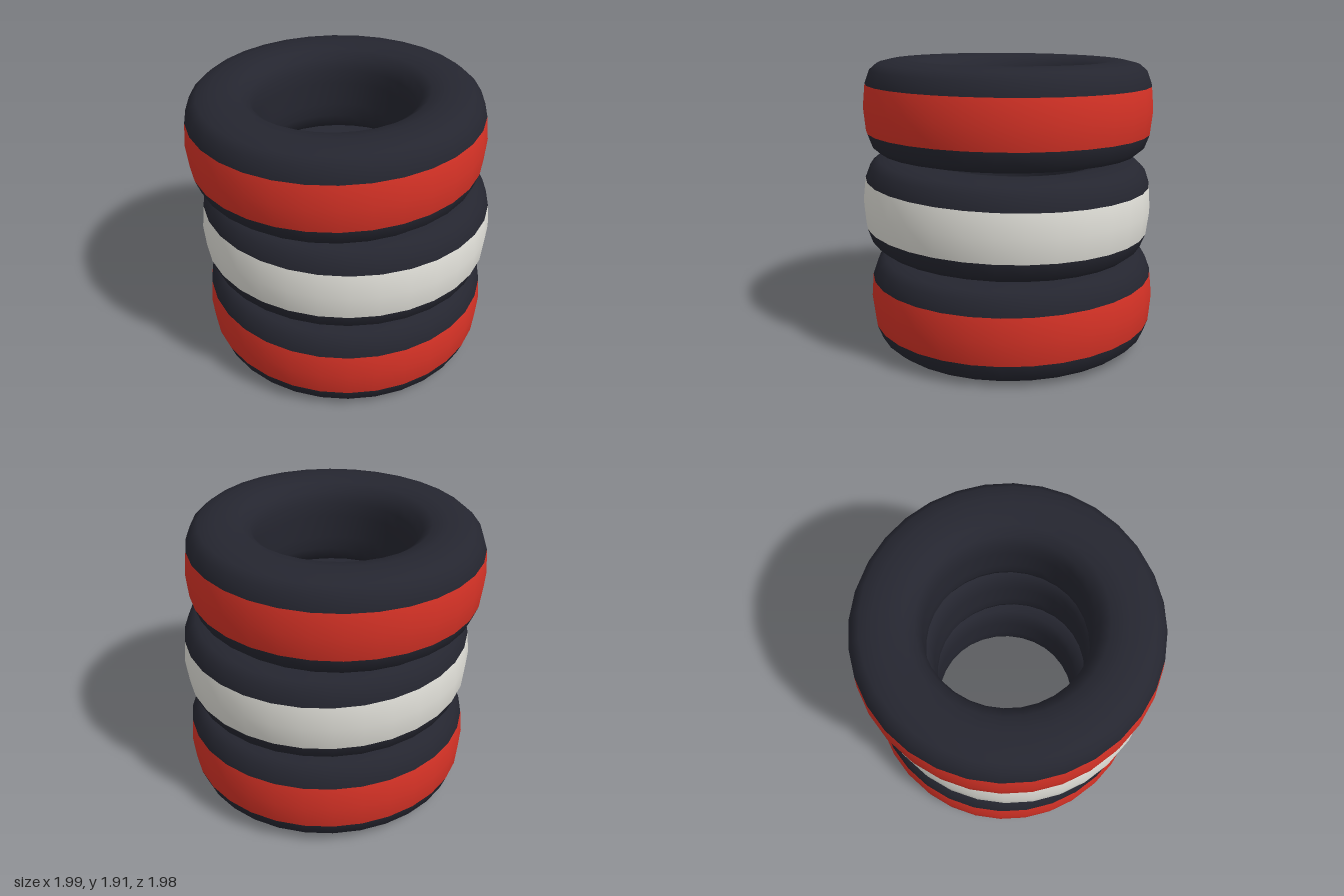
import * as THREE from 'three';

const rubber = new THREE.MeshStandardMaterial({ name: 'darkRubber', color: 0x252630 });
const red = new THREE.MeshStandardMaterial({ name: 'redPaint', color: 0xd63226 });
const white = new THREE.MeshStandardMaterial({ name: 'whitePaint', color: 0xe0dfd8 });

const SEGMENTS = 32;
const BAND = 0.155; // half height of the painted tread

// Upper half of the cross-section, from the tread to the inner wall
const upper = [
  [0.966, 0], [0.951, BAND], [0.918, 0.245], [0.868, 0.288], [0.785, 0.308],
  [0.69, 0.311], [0.605, 0.293], [0.545, 0.248], [0.518, 0.17], [0.515, 0.08],
];

// Closed profile: inner wall, underside, tread, top, inner wall
function tyreProfile() {
  const lower = upper.slice(1).reverse().map(([r, y]) => [r, -y]);
  return [[0.515, 0], ...lower, ...upper, [0.515, 0]].map(([r, y]) => new THREE.Vector2(r, y));
}

// Lathe whose faces are sorted into a rubber group and a tread-band group
function tyreGeometry() {
  const profile = tyreProfile();
  const geometry = new THREE.LatheGeometry(profile, SEGMENTS);
  const index = geometry.index.array;
  const body = [], band = [];
  const rows = profile.length - 1;
  for (let q = 0; q < index.length / 6; q++) {
    const row = q % rows;
    const a = profile[row], b = profile[row + 1];
    const onTread = Math.min(a.x, b.x) > 0.95 && Math.max(Math.abs(a.y), Math.abs(b.y)) <= BAND;
    (onTread ? band : body).push(...index.slice(q * 6, q * 6 + 6));
  }
  geometry.setIndex([...body, ...band]);
  geometry.addGroup(0, body.length, 0);
  geometry.addGroup(body.length, band.length, 1);
  return geometry;
}

export function createModel() {
  const group = new THREE.Group();
  group.name = 'tyreStack';
  const geometry = tyreGeometry();

  // Each tyre is slightly shifted and tilted
  const tyres = [
    { name: 'bottomTyre', paint: red, position: [0.007, 0.322, -0.022], tilt: [0.008, 0, -0.013] },
    { name: 'middleTyre', paint: white, position: [0.025, 0.962, 0.005], tilt: [-0.026, 0, 0.004] },
    { name: 'topTyre', paint: red, position: [-0.035, 1.59, 0.025], tilt: [0, 0, 0.015] },
  ];
  for (const { name, paint, position, tilt } of tyres) {
    const tyre = new THREE.Mesh(geometry, [rubber, paint]);
    tyre.name = name;
    tyre.position.set(...position);
    tyre.rotation.set(...tilt);
    group.add(tyre);
  }
  return group;
}
